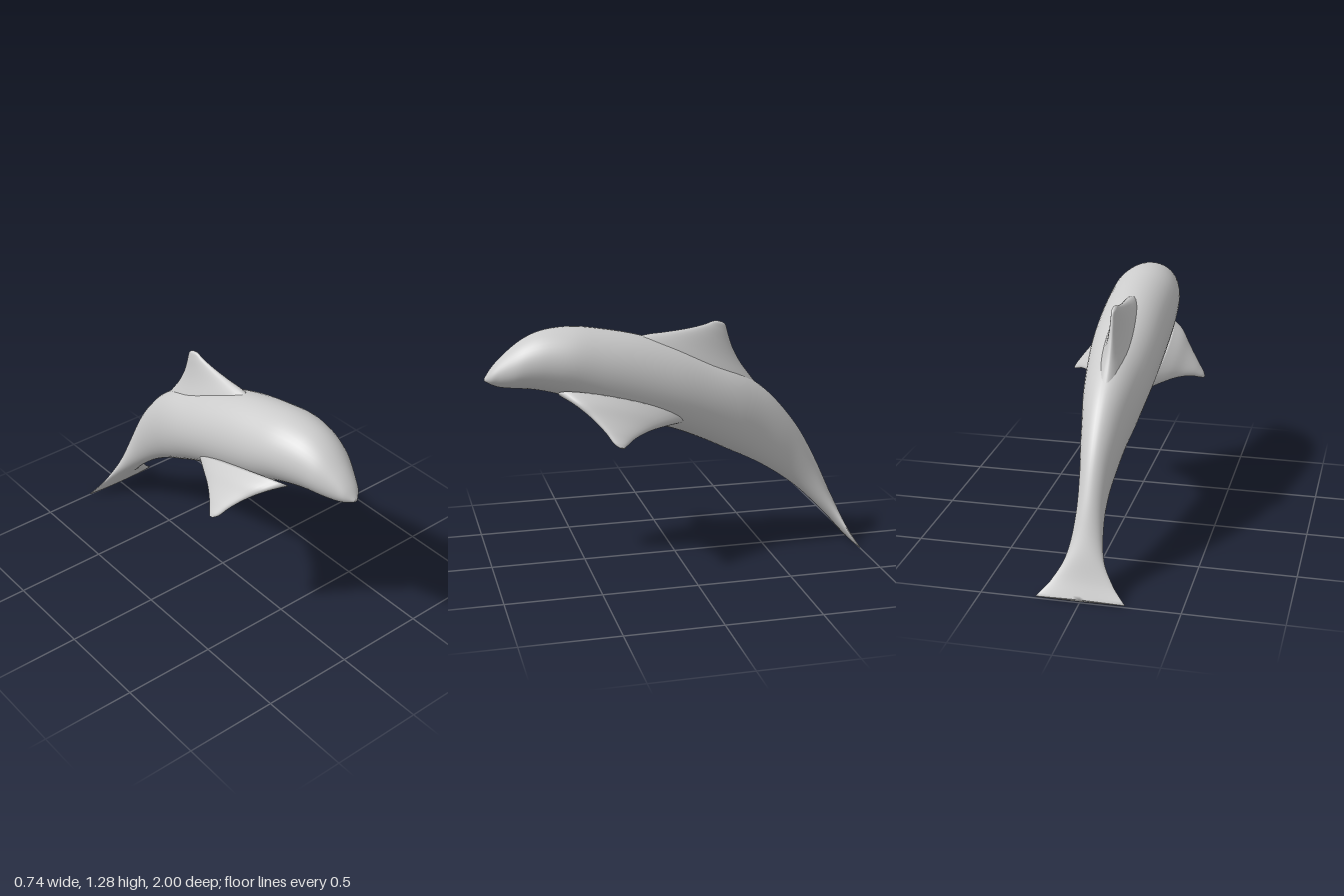
import * as THREE from 'three';

const material = new THREE.MeshStandardMaterial({ color: 0xcccccc, side: THREE.DoubleSide });

// Lofts elliptical rings. Each station is [edgeA, edgeB, halfThickness]:
// the ring spans edgeA to edgeB and bulges by halfThickness along `normal`.
function loft(name, stations, normal, rings, sides) {
  const curve = (pick) => new THREE.CatmullRomCurve3(stations.map(pick));
  const edgeA = curve((s) => s[0]);
  const edgeB = curve((s) => s[1]);
  const thick = curve((s, i) => new THREE.Vector3(s[2], i * 0.1, 0));

  // Turn the normal so the faces always point outward
  const first = stations[0], last = stations[stations.length - 1];
  const along = last[0].clone().add(last[1]).sub(first[0]).sub(first[1]);
  const across = first[0].clone().sub(first[1]);
  const n = normal.clone().normalize();
  if (across.cross(n).dot(along) < 0) n.negate();

  const positions = [], index = [];
  for (let i = 0; i <= rings; i++) {
    const t = i / rings;
    const a = edgeA.getPoint(t), b = edgeB.getPoint(t);
    const h = Math.max(thick.getPoint(t).x, 0.002);
    const centre = a.clone().add(b).multiplyScalar(0.5);
    const half = a.clone().sub(b).multiplyScalar(0.5);
    for (let j = 0; j < sides; j++) {
      const angle = (j / sides) * Math.PI * 2;
      const p = centre.clone()
        .addScaledVector(half, Math.cos(angle))
        .addScaledVector(n, h * Math.sin(angle));
      positions.push(p.x, p.y, p.z);
    }
  }
  for (let i = 0; i < rings; i++) {
    for (let j = 0; j < sides; j++) {
      const k = (j + 1) % sides;
      const p = i * sides + j, q = i * sides + k;
      index.push(p, q, p + sides, q, q + sides, p + sides);
    }
  }
  // End caps
  const end = rings * sides;
  for (let j = 1; j < sides - 1; j++) {
    index.push(0, j + 1, j, end, end + j, end + j + 1);
  }
  const geometry = new THREE.BufferGeometry();
  geometry.setAttribute('position', new THREE.Float32BufferAttribute(positions, 3));
  geometry.setIndex(index);
  geometry.computeVertexNormals();
  const mesh = new THREE.Mesh(geometry, material);
  mesh.name = name;
  return mesh;
}

// Station on the centre plane: z, y of the upper edge, z, y of the lower edge, half width
const midline = ([za, ya, zb, yb, w]) =>
  [new THREE.Vector3(0, ya, za), new THREE.Vector3(0, yb, zb), w];

// Body from snout to tail flukes
const bodyStations = [
  [1.0, 1.035, 1.0, 1.02, 0.012],
  [0.96, 1.09, 0.97, 1.003, 0.05],
  [0.9, 1.15, 0.93, 0.987, 0.078],
  [0.8, 1.225, 0.86, 0.977, 0.12],
  [0.7, 1.266, 0.75, 0.965, 0.153],
  [0.55, 1.28, 0.6, 0.925, 0.185],
  [0.4, 1.262, 0.42, 0.845, 0.195],
  [0.2, 1.22, 0.2, 0.765, 0.195],
  [0.0, 1.15, 0.0, 0.7, 0.188],
  [-0.2, 1.06, -0.15, 0.635, 0.17],
  [-0.36, 0.985, -0.3, 0.56, 0.147],
  [-0.5, 0.885, -0.42, 0.5, 0.12],
  [-0.6, 0.78, -0.53, 0.435, 0.1],
  [-0.7, 0.645, -0.63, 0.365, 0.08],
  [-0.8, 0.46, -0.72, 0.29, 0.071],
  [-0.87, 0.305, -0.82, 0.19, 0.081],
  [-0.915, 0.205, -0.89, 0.115, 0.105],
  [-0.96, 0.095, -0.95, 0.045, 0.163],
  [-1.0, 0.015, -0.99, 0.0, 0.225],
];

// Dorsal fin, flared at the root and swept back
const dorsalStations = [
  [0.3, 1.17, -0.52, 0.82, 0.1],
  [0.17, 1.215, -0.43, 0.945, 0.065],
  [0.04, 1.227, -0.36, 1.04, 0.042],
  [-0.08, 1.24, -0.315, 1.125, 0.027],
  [-0.17, 1.258, -0.29, 1.2, 0.018],
  [-0.205, 1.27, -0.275, 1.25, 0.012],
  [-0.23, 1.272, -0.26, 1.263, 0.004],
];

// Flipper: leading edge x, y, z, trailing edge x, y, z, half thickness
const flipperStations = [
  [0.11, 0.96, 0.64, 0.11, 0.77, -0.06, 0.09],
  [0.19, 0.925, 0.575, 0.19, 0.775, 0.08, 0.055],
  [0.25, 0.865, 0.5, 0.25, 0.77, 0.19, 0.034],
  [0.31, 0.795, 0.435, 0.31, 0.753, 0.28, 0.022],
  [0.35, 0.745, 0.4, 0.35, 0.732, 0.33, 0.014],
  [0.367, 0.727, 0.375, 0.367, 0.722, 0.35, 0.005],
];

export function createModel() {
  const group = new THREE.Group();
  group.name = 'dolphin';
  const sideways = new THREE.Vector3(1, 0, 0);
  group.add(loft('body', bodyStations.map(midline), sideways, 90, 40));
  group.add(loft('dorsalFin', dorsalStations.map(midline), sideways, 30, 32));

  for (const [name, s] of [['leftFlipper', 1], ['rightFlipper', -1]]) {
    const stations = flipperStations.map(([ax, ay, az, bx, by, bz, h]) =>
      [new THREE.Vector3(s * ax, ay, az), new THREE.Vector3(s * bx, by, bz), h]);
    group.add(loft(name, stations, new THREE.Vector3(s * 0.76, 0.65, 0), 30, 32));
  }
  return group;
}
